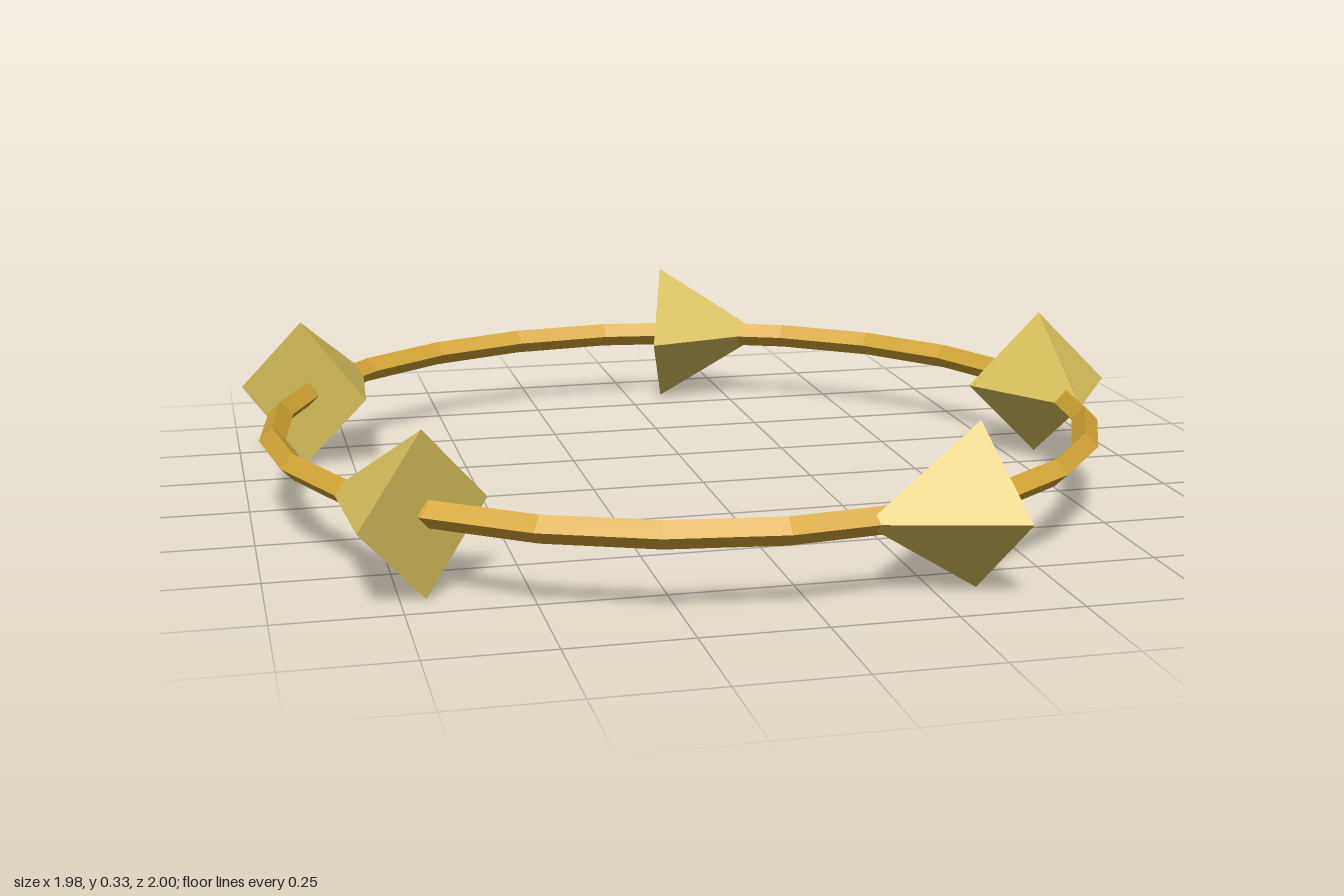
import * as THREE from 'three';

export function createModel() {
  const model = new THREE.Group();
  model.name = 'arrowRing';

  const gold = new THREE.MeshStandardMaterial({ color: 0xd4a636, flatShading: true });
  gold.name = 'gold';
  const paleGold = new THREE.MeshStandardMaterial({ color: 0xd6c05c, flatShading: true });
  paleGold.name = 'pale gold';

  const ringRadius = 0.8855;
  const tubeRadius = 0.028;
  const arrowRadius = 0.166;
  const arrowLength = 0.264;
  const arrowCount = 5;

  // Flat-lying ring with a diamond cross-section
  const ringGeometry = new THREE.TorusGeometry(ringRadius, tubeRadius, 4, 24);
  ringGeometry.rotateX(Math.PI / 2);
  const ring = new THREE.Mesh(ringGeometry, gold);
  ring.name = 'ring';
  model.add(ring);

  // Four-sided arrowheads threaded on the ring, all pointing the same way round
  const arrowGeometry = new THREE.ConeGeometry(arrowRadius, arrowLength, 4);
  arrowGeometry.rotateX(Math.PI / 2);
  arrowGeometry.translate(ringRadius, 0, 0);
  for (let i = 0; i < arrowCount; i++) {
    const arrow = new THREE.Mesh(arrowGeometry, paleGold);
    arrow.name = `arrowhead${i + 1}`;
    arrow.rotation.y = -(i / arrowCount) * Math.PI * 2;
    model.add(arrow);
  }

  // Stand on the ground with the whole outline centred
  model.position.set(-0.061, arrowRadius, 0.041);
  const root = new THREE.Group();
  root.name = 'model';
  root.add(model);
  return root;
}
